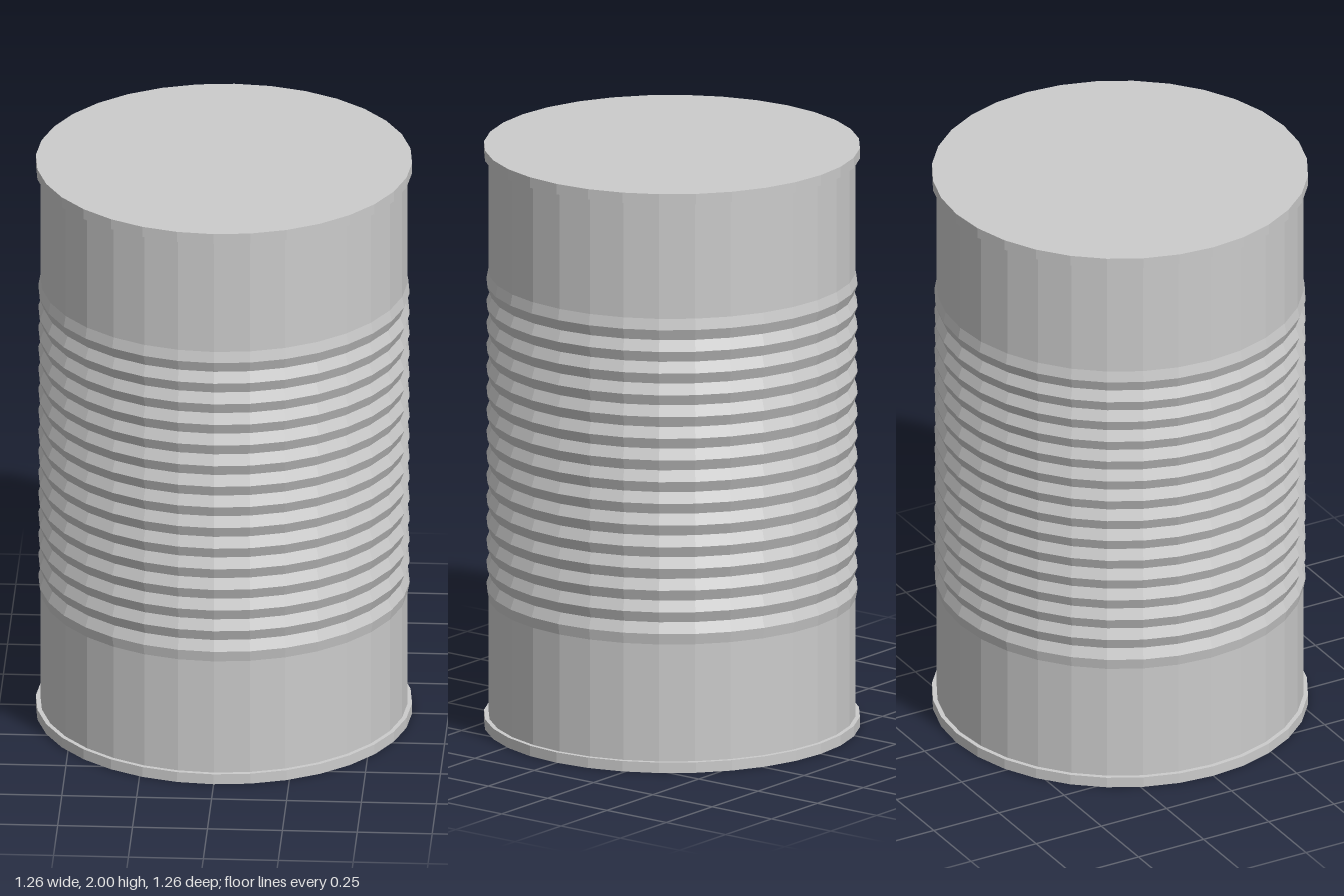
import * as THREE from 'three';

const SIDES = 32;
const HEIGHT = 2;
const BODY_R = 0.613;
const RIM_R = 0.628;
const RIM_H = 0.036;

export function createModel() {
  const group = new THREE.Group();
  group.name = 'tinCan';
  const material = new THREE.MeshStandardMaterial({ color: 0xcccccc, flatShading: true });

  // Ribbed wall: plain bands above and below a zigzag of 15 ribs
  const ribs = 15, ribStart = 0.44, ribEnd = 1.565;
  const peakR = 0.62, valleyR = 0.606;
  const step = (ribEnd - ribStart) / (ribs * 2);
  const profile = [new THREE.Vector2(BODY_R, RIM_H / 2), new THREE.Vector2(BODY_R, ribStart)];
  for (let i = 1; i < ribs * 2; i++) {
    profile.push(new THREE.Vector2(i % 2 ? peakR : valleyR, ribStart + i * step));
  }
  profile.push(new THREE.Vector2(BODY_R, ribEnd), new THREE.Vector2(BODY_R, HEIGHT - RIM_H / 2));
  const wall = new THREE.Mesh(new THREE.LatheGeometry(profile, SIDES), material);
  wall.name = 'ribbedWall';
  group.add(wall);

  // Flat end discs with a slightly wider rim
  for (const [name, y] of [['bottomLid', RIM_H / 2], ['topLid', HEIGHT - RIM_H / 2]]) {
    const lid = new THREE.Mesh(new THREE.CylinderGeometry(RIM_R, RIM_R, RIM_H, SIDES), material);
    lid.name = name;
    lid.position.y = y;
    group.add(lid);
  }
  return group;
}
